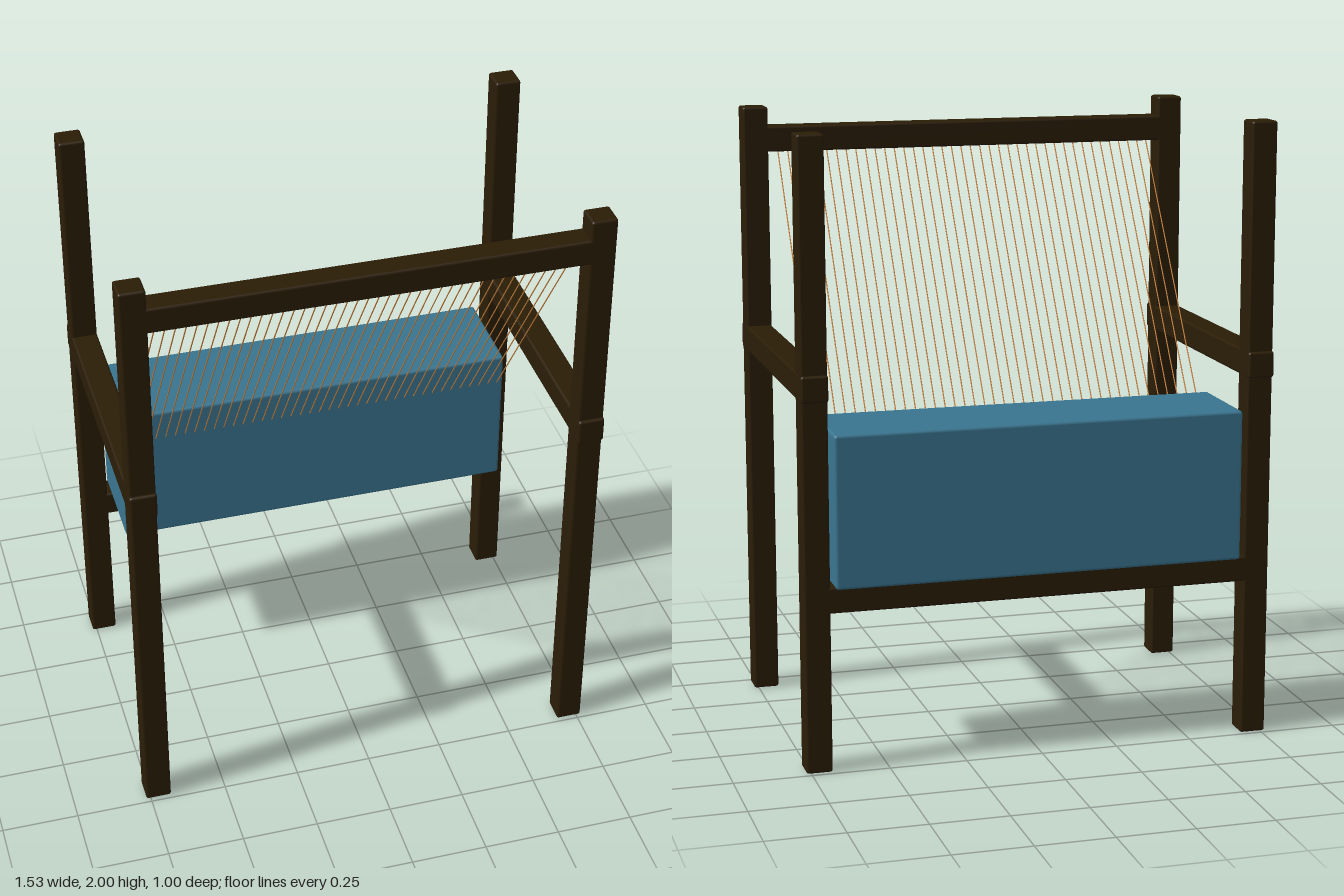
import * as THREE from 'three';
import { RoundedBoxGeometry } from 'three/addons/geometries/RoundedBoxGeometry.js';

const wood = new THREE.MeshStandardMaterial({ color: 0x2b1d06 });
wood.name = 'dark wood';
const blue = new THREE.MeshStandardMaterial({ color: 0x3a7590 });
blue.name = 'blue cloth';
const orange = new THREE.MeshStandardMaterial({ color: 0xcd853f });
orange.name = 'orange thread';

const BEAM = 0.084;
const POST_X = 0.723;
const POST_Z = 0.445;

export function createModel() {
  const model = new THREE.Group();
  model.name = 'loom';

  const block = (name, size, position, material, radius = 0.008) => {
    const mesh = new THREE.Mesh(new RoundedBoxGeometry(...size, 2, radius), material);
    mesh.name = name;
    mesh.position.set(...position);
    model.add(mesh);
  };

  // Four posts and the two side rails
  for (const [side, sx] of [['left', 1], ['right', -1]]) {
    for (const [end, sz] of [['Front', 1], ['Back', -1]]) {
      block(`${side}${end}Post`, [BEAM, 2, BEAM], [sx * POST_X, 1, sz * POST_Z], wood);
    }
    block(`${side}SideRail`, [BEAM + 0.002, BEAM, 0.996], [sx * POST_X, 1.227, 0], wood);
  }

  // Cross beams: high at the front, low at the back
  block('frontTopBeam', [1.4, BEAM, BEAM], [0, 1.893, POST_Z], wood);
  block('backLowBeam', [1.4, BEAM, BEAM], [0, 0.557, -POST_Z], wood);

  // Cloth block resting on the back beam
  block('clothBlock', [1.33, 0.49, 0.326], [0, 0.836, -0.333], blue, 0.01);

  // Slanted warp threads from the top beam down to the cloth
  const top = new THREE.Vector3(0, 1.857, 0.434);
  const bottom = new THREE.Vector3(0, 0.975, -0.174);
  const along = top.clone().sub(bottom);
  const threadGeometry = new THREE.CylinderGeometry(0.002, 0.002, along.length(), 6);
  const threads = new THREE.Group();
  threads.name = 'warpThreads';
  const count = 40;
  for (let i = 0; i < count; i++) {
    const thread = new THREE.Mesh(threadGeometry, orange);
    thread.name = 'warpThread';
    thread.position.copy(top).add(bottom).multiplyScalar(0.5);
    thread.position.x = -0.645 + (1.29 * i) / (count - 1);
    thread.quaternion.setFromUnitVectors(new THREE.Vector3(0, 1, 0), along.clone().normalize());
    threads.add(thread);
  }
  model.add(threads);

  return model;
}
